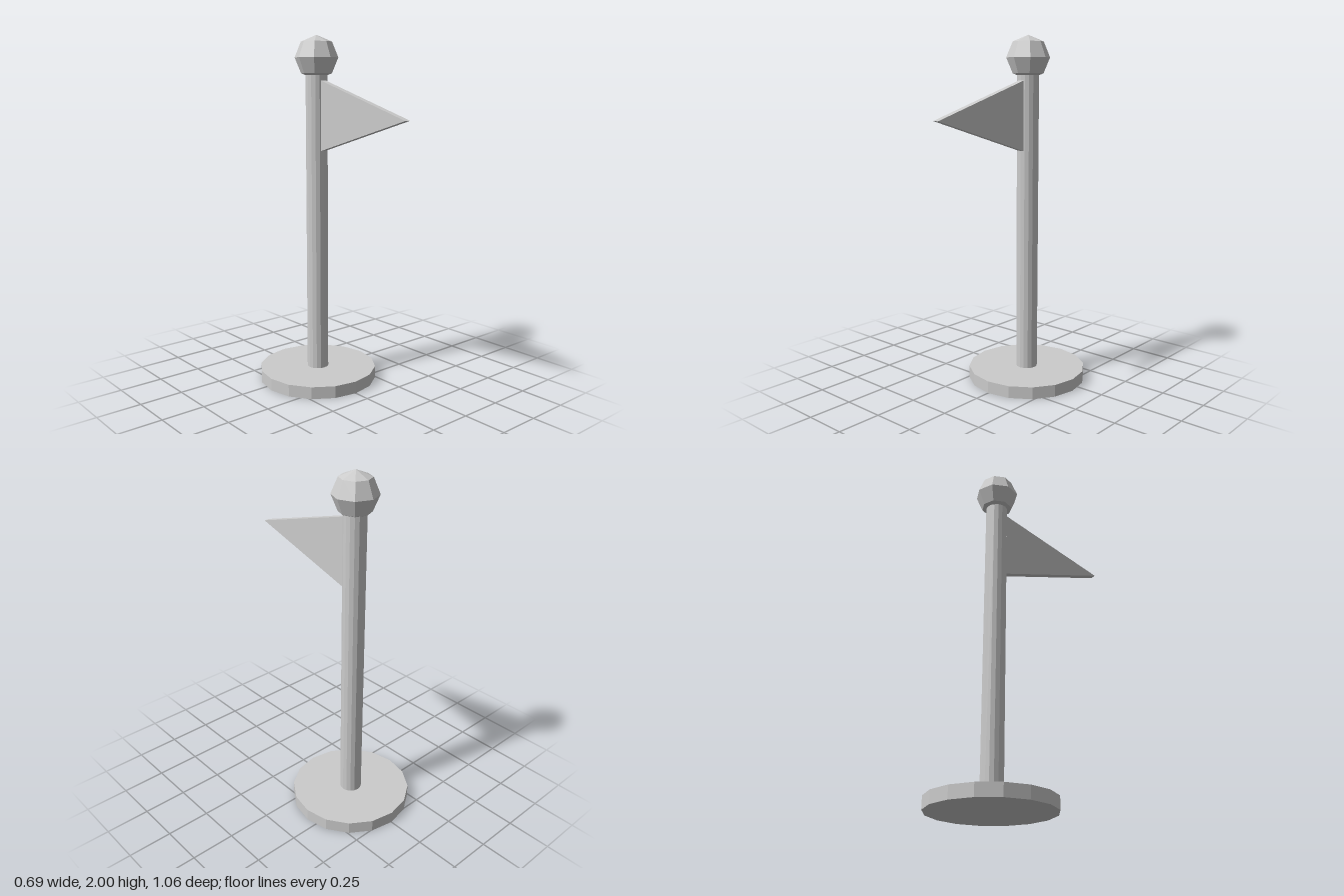
import * as THREE from 'three';

const POLE_Z = -0.188;

export function createModel() {
  const model = new THREE.Group();
  const material = new THREE.MeshStandardMaterial({ color: 0xcccccc, flatShading: true });

  const add = (name, geometry, y, z = POLE_Z) => {
    const mesh = new THREE.Mesh(geometry, material);
    mesh.name = name;
    mesh.position.set(0, y, z);
    model.add(mesh);
    return mesh;
  };

  // Round foot and the pole standing on it
  add('base', new THREE.CylinderGeometry(0.343, 0.343, 0.07, 16), 0.035);
  add('pole', new THREE.CylinderGeometry(0.062, 0.062, 1.72, 16), 0.93);

  // Faceted ball on top
  add('finial', new THREE.SphereGeometry(0.123, 8, 4), 1.877);

  // Triangular pennant pointing forward, drawn in (z, y) and turned to face sideways
  const thickness = 0.036;
  const shape = new THREE.Shape([
    new THREE.Vector2(0, -0.195),
    new THREE.Vector2(0.657, 0),
    new THREE.Vector2(0, 0.195),
  ]);
  const pennant = new THREE.ExtrudeGeometry(shape, { depth: thickness, bevelEnabled: false });
  pennant.translate(0, 0, -thickness / 2).rotateY(-Math.PI / 2);
  add('pennant', pennant, 1.555, -0.127);

  return model;
}
